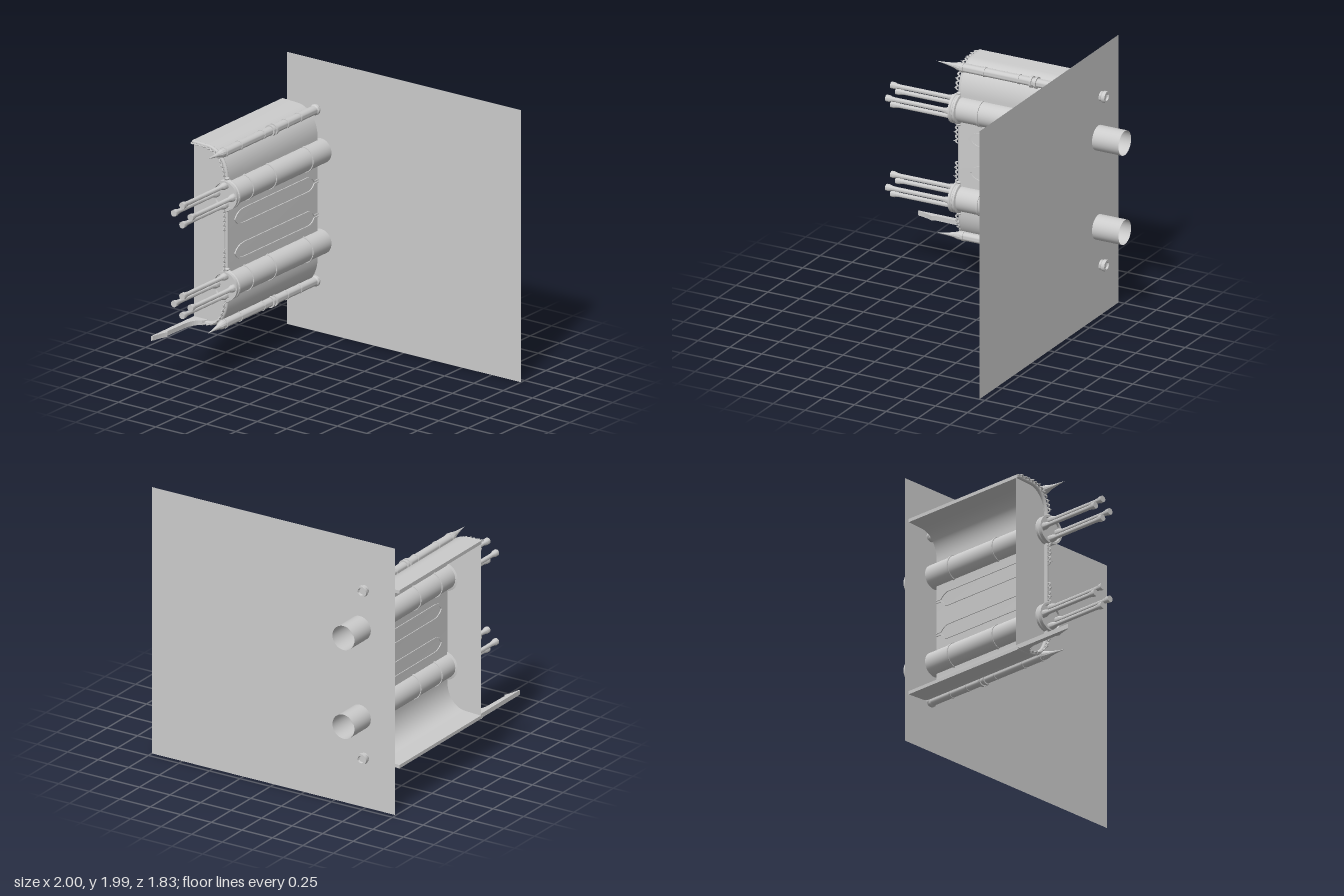
import * as THREE from 'three';
import { toCreasedNormals } from 'three/addons/utils/BufferGeometryUtils.js';

const material = new THREE.MeshStandardMaterial({ color: 0xcccccc, side: THREE.DoubleSide });
const Z_BACK = -0.663, Z_FRONT = 0.38, WALL_X = -0.7, THICK = 0.025;

function add(parent, name, geometry, x = 0, y = 0, z = 0) {
  const mesh = new THREE.Mesh(geometry, material);
  mesh.name = name;
  mesh.position.set(x, y, z);
  parent.add(mesh);
  return mesh;
}

// Turned part along z, from [radius, z] pairs
function turned(pairs, sides = 32) {
  const geometry = new THREE.LatheGeometry(pairs.map(([r, z]) => new THREE.Vector2(r, z)), sides);
  return toCreasedNormals(geometry.rotateX(Math.PI / 2), 0.6);
}

// Short raised band around a tube
const band = (r, z, width, inner) =>
  turned([[inner, z - width / 2], [r, z - width / 2], [r, z + width / 2], [inner, z + width / 2]]);

// Half-section of the casing from top edge to bottom edge, moved inward by t
function sectionPath(t) {
  const p = new THREE.Shape();
  const x = WALL_X - t;
  p.moveTo(-1, 1.666 - t);
  p.lineTo(-0.87, 1.66 - t);
  p.bezierCurveTo(-0.77 - t / 2, 1.655 - t, x, 1.56 - t / 2, x, 1.44);
  p.lineTo(x, 0.56);
  p.bezierCurveTo(x, 0.44 + t / 2, -0.77 - t / 2, 0.345 + t, -0.87, 0.34 + t);
  p.lineTo(-1, 0.334 + t);
  return p;
}

function buildCasing(group) {
  // Wall with an outer and an inner skin
  const outer = sectionPath(0), middle = sectionPath(THICK / 2);
  const wall = sectionPath(0);
  for (const p of sectionPath(THICK).getPoints(16).reverse()) wall.lineTo(p.x, p.y);
  wall.closePath();
  const wallGeometry = new THREE.ExtrudeGeometry(wall, { depth: Z_FRONT - Z_BACK, bevelEnabled: false, curveSegments: 16 });
  add(group, 'casingWall', toCreasedNormals(wallGeometry, 0.5), 0, 0, Z_BACK);
  add(group, 'casingFrontPanel', new THREE.ShapeGeometry(outer, 16), 0, 0, 0.37);

  // Rounded moulding at the front edge
  const curve = new THREE.CatmullRomCurve3(
    middle.getSpacedPoints(80).map((p) => new THREE.Vector3(p.x, p.y, Z_FRONT)));
  add(group, 'frontMoulding', new THREE.TubeGeometry(curve, 120, 0.015, 8));

  // Lacy row of arches with little finials
  const arch = new THREE.TorusGeometry(0.016, 0.0045, 6, 10, Math.PI);
  arch.scale(1, 1.9, 1).rotateX(Math.PI / 2);
  const finial = new THREE.ConeGeometry(0.007, 0.024, 6).rotateX(Math.PI / 2);
  const steps = 52;
  const lace = new THREE.Group();
  lace.name = 'frontLace';
  group.add(lace);
  for (let i = 0; i < steps; i++) {
    const t = (i + 0.5) / steps;
    const p = middle.getPointAt(t), d = middle.getTangentAt(t);
    const h = Math.abs(p.y - 1);
    if (h < 0.05 || (h > 0.22 && h < 0.45)) continue;
    add(lace, 'laceArch', arch, p.x, p.y, 0.385).rotation.z = Math.atan2(d.y, d.x);
    if (i % 2) add(lace, 'laceFinial', finial, p.x, p.y, 0.425);
  }
}

// Outline of the long side frame; u runs backwards along z, r is the half height
function frameOutline(path, r, tip, tail) {
  path.moveTo(tip, 0);
  path.quadraticCurveTo(tip + 0.03, r, -0.19, r);
  path.lineTo(0.54, r);
  path.quadraticCurveTo(0.59, r, 0.615, tail);
  path.lineTo(-Z_BACK, tail);
  path.lineTo(-Z_BACK, -tail);
  path.lineTo(0.615, -tail);
  path.quadraticCurveTo(0.59, -r, 0.54, -r);
  path.lineTo(-0.19, -r);
  path.quadraticCurveTo(tip + 0.03, -r, tip, 0);
  return path;
}

// Raised frame with a pointed front and a narrow tail
function buildSideFrame(group, y) {
  const shape = frameOutline(new THREE.Shape(), 0.06, -0.31, 0.014);
  const hole = new THREE.Path();
  frameOutline(hole, 0.046, -0.29, 0.005);
  shape.holes.push(hole);
  const geometry = new THREE.ExtrudeGeometry(shape, { depth: THICK + 0.014, bevelEnabled: false, curveSegments: 12 });
  add(group, 'sideFrame', geometry.rotateY(Math.PI / 2), WALL_X - THICK - 0.006, y, 0);
}

// Large open tube with a cluster of four slim barrels
function buildTube(group, y) {
  const tube = new THREE.Group();
  tube.name = 'barrelTube';
  tube.position.set(-0.704, y, 0);
  group.add(tube);
  add(tube, 'tubeBody', turned([[0.09, -0.915], [0.09, 0.37]], 40));
  add(tube, 'tubeCollar', turned([[0.09, 0.365], [0.106, 0.37], [0.106, 0.385], [0.1, 0.39],
    [0.1, 0.4], [0.106, 0.405], [0.106, 0.42], [0.09, 0.42], [0.088, 0.405], [0, 0.405]], 40));
  for (const z of [0.2, -0.068, -0.495]) add(tube, 'tubeBand', band(0.096, z, 0.014, 0.089));

  const barrel = turned([[0.026, 0.4], [0.026, 0.43], [0.022, 0.445], [0.016, 0.465], [0.016, 0.85],
    [0.019, 0.875], [0.024, 0.89], [0.024, 0.915], [0, 0.915]], 16);
  for (let i = 0; i < 4; i++) {
    const a = i * Math.PI / 2;
    add(tube, 'barrel', barrel, 0.071 * Math.cos(a), 0.071 * Math.sin(a));
  }
  // Bosses where the tube meets the edge moulding
  for (const s of [-1, 1]) {
    add(tube, 'boss', new THREE.SphereGeometry(0.018, 12, 8).scale(1, 0.6, 1), 0, s * 0.116, 0.385);
  }
}

// Corner pipe with collars, rear flange and a thorn at the front
function buildPipe(group, s) {
  const pipe = new THREE.Group();
  pipe.name = 'cornerPipe';
  pipe.position.set(-0.743, 1 + s * 0.627, 0);
  group.add(pipe);
  add(pipe, 'pipeBody', turned([[0, -0.74], [0.022, -0.74], [0.026, -0.755], [0.042, -0.755], [0.042, -0.73],
    [0.035, -0.72], [0.035, -0.705], [0.039, -0.7], [0.039, -0.685], [0.032, -0.675], [0.032, 0.39], [0, 0.39]], 24));
  for (const z of [-0.168, -0.205]) add(pipe, 'pipeCollar', band(0.042, z, 0.016, 0.031));
  for (const z of [0.37, 0.2, -0.068, -0.34, -0.495]) add(pipe, 'pipeBand', band(0.036, z, 0.012, 0.031));

  const thorn = turned([[0.033, 0.38], [0.029, 0.41], [0.018, 0.445], [0.009, 0.5], [0, 0.58]], 12);
  const pos = thorn.attributes.position;
  for (let i = 0; i < pos.count; i++) {
    const k = (pos.getZ(i) - 0.38) / 0.2;
    pos.setXY(i, pos.getX(i) + 0.01 * k, pos.getY(i) + s * 0.012 * k);
  }
  thorn.computeVertexNormals();
  add(pipe, 'thorn', thorn);
}

// Half of a spear cut on the centre line, lying flat under the front
function buildSpear(group) {
  const shape = new THREE.Shape();
  shape.moveTo(-1, 0.37);
  shape.lineTo(-1, 0.87);
  shape.lineTo(-0.99, 0.86);
  shape.quadraticCurveTo(-0.98, 0.79, -0.955, 0.74);
  shape.lineTo(-0.968, 0.72);
  shape.lineTo(-0.962, 0.52);
  shape.quadraticCurveTo(-0.955, 0.43, -0.9, 0.41);
  shape.lineTo(-0.88, 0.37);
  const geometry = new THREE.ExtrudeGeometry(shape, { depth: 0.034, bevelEnabled: false, curveSegments: 8 });
  add(group, 'spear', geometry.rotateX(Math.PI / 2), 0, 0.372, 0);
}

export function createModel() {
  const group = new THREE.Group();
  add(group, 'backPlane', new THREE.PlaneGeometry(1.993, 1.993), 0.0035, 0.9965, -0.707);
  buildCasing(group);
  for (const s of [1, -1]) {
    buildSideFrame(group, 1 + s * 0.125);
    buildTube(group, 1 + s * 0.332);
    buildPipe(group, s);
  }
  buildSpear(group);
  return group;
}
